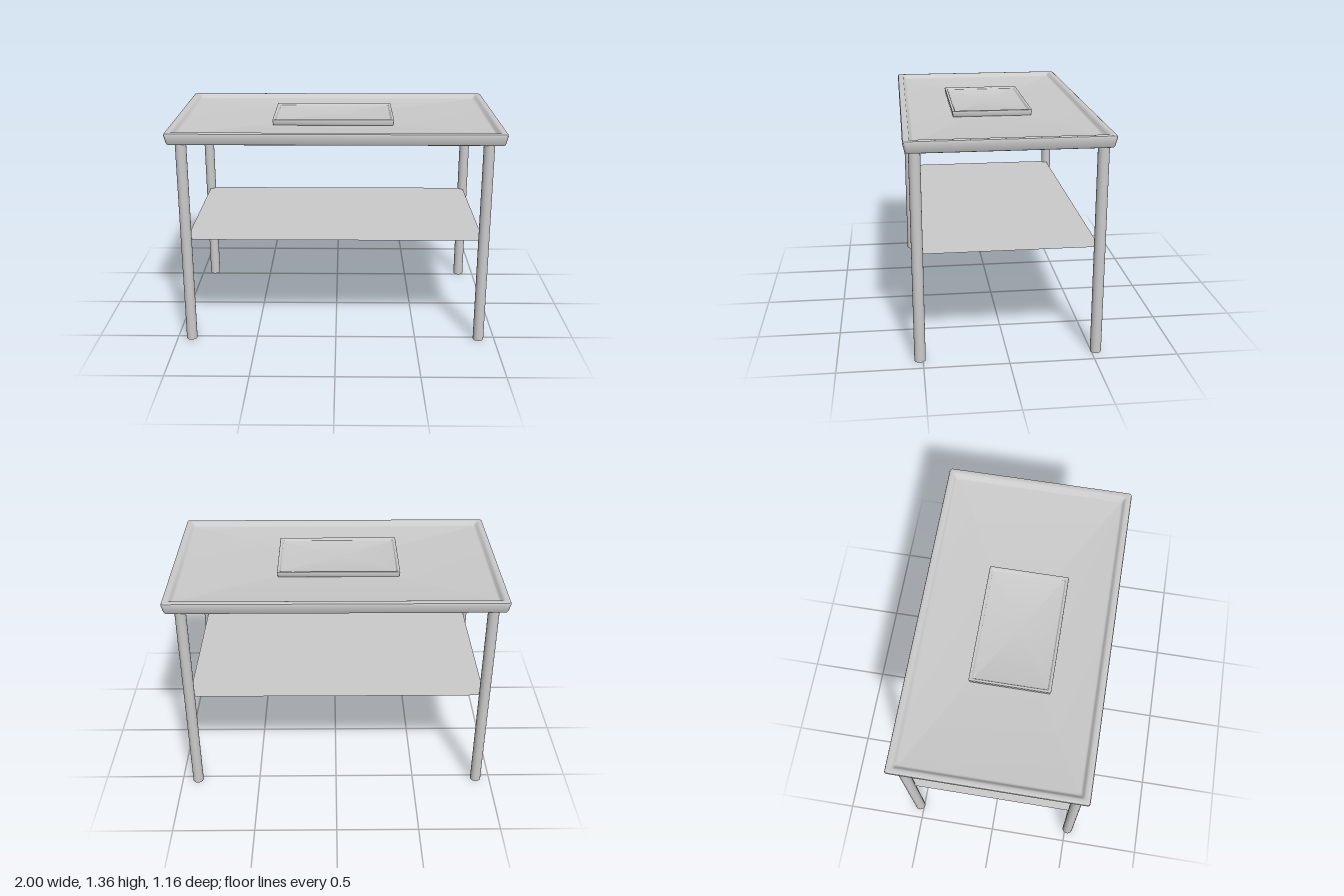
import * as THREE from 'three';
import { toCreasedNormals } from 'three/addons/utils/BufferGeometryUtils.js';

const material = new THREE.MeshStandardMaterial({ color: 0xcccccc });

// Shallow tray: rounded rectangles lofted along a profile of [inset, y],
// running from the underside, up the outer wall, over the rim, to the floor.
function trayGeometry(hx, hz, radius, profile) {
  const steps = 4;
  const positions = [];
  const index = [];
  const count = 4 * (steps + 1);
  for (const [inset, y] of profile) {
    for (let corner = 0; corner < 4; corner++) {
      const sx = corner === 0 || corner === 3 ? 1 : -1;
      const sz = corner < 2 ? 1 : -1;
      for (let s = 0; s <= steps; s++) {
        const a = (corner + s / steps) * Math.PI / 2;
        positions.push(
          sx * (hx - inset - radius) + radius * Math.cos(a), y,
          sz * (hz - inset - radius) + radius * Math.sin(a));
      }
    }
  }
  const last = (profile.length - 1) * count;
  const bottom = profile.length * count;
  positions.push(0, profile[0][1], 0, 0, profile[profile.length - 1][1], 0);
  for (let j = 0; j < count; j++) {
    const k = (j + 1) % count;
    for (let i = 0; i < last; i += count) {
      index.push(i + j, i + count + j, i + count + k, i + j, i + count + k, i + k);
    }
    index.push(bottom, j, k, bottom + 1, last + k, last + j);
  }
  const geometry = new THREE.BufferGeometry();
  geometry.setAttribute('position', new THREE.Float32BufferAttribute(positions, 3));
  geometry.setIndex(index);
  return toCreasedNormals(geometry, 0.7);
}

export function createModel() {
  const group = new THREE.Group();
  const add = (name, geometry, x, y, z, mat = material) => {
    const mesh = new THREE.Mesh(geometry, mat);
    mesh.name = name;
    mesh.position.set(x, y, z);
    group.add(mesh);
  };

  // Table top with a raised rim and flared sides
  add('tableTop', trayGeometry(1, 0.582, 0.015, [
    [0.022, 1.272], [0.014, 1.275], [0.01, 1.284], [0, 1.333], [0.003, 1.342],
    [0.01, 1.345], [0.03, 1.345], [0.038, 1.342], [0.045, 1.333],
    [0.054, 1.322], [0.064, 1.32],
  ]), 0, 0, 0);

  // Small serving tray lying off-centre on the top
  add('servingTray', trayGeometry(0.372, 0.242, 0.006, [
    [0.008, 1.318], [0.004, 1.322], [0, 1.35], [0.001, 1.354], [0.004, 1.356],
    [0.011, 1.356], [0.015, 1.354], [0.02, 1.345], [0.026, 1.343],
  ]), -0.018, 0, 0.03);

  // Four round legs
  const legX = [-0.912, 0.9];
  const legZ = [-0.528, 0.518];
  const leg = new THREE.CylinderGeometry(0.033, 0.033, 1.28, 32);
  for (const x of legX) for (const z of legZ) add('leg', leg, x, 0.64, z);

  // Paper-thin lower shelf spanning the leg centres
  const shelf = new THREE.PlaneGeometry(legX[1] - legX[0], legZ[1] - legZ[0]).rotateX(-Math.PI / 2);
  const twoSided = material.clone();
  twoSided.side = THREE.DoubleSide;
  add('lowerShelf', shelf, (legX[0] + legX[1]) / 2, 0.665, (legZ[0] + legZ[1]) / 2, twoSided);

  return group;
}
